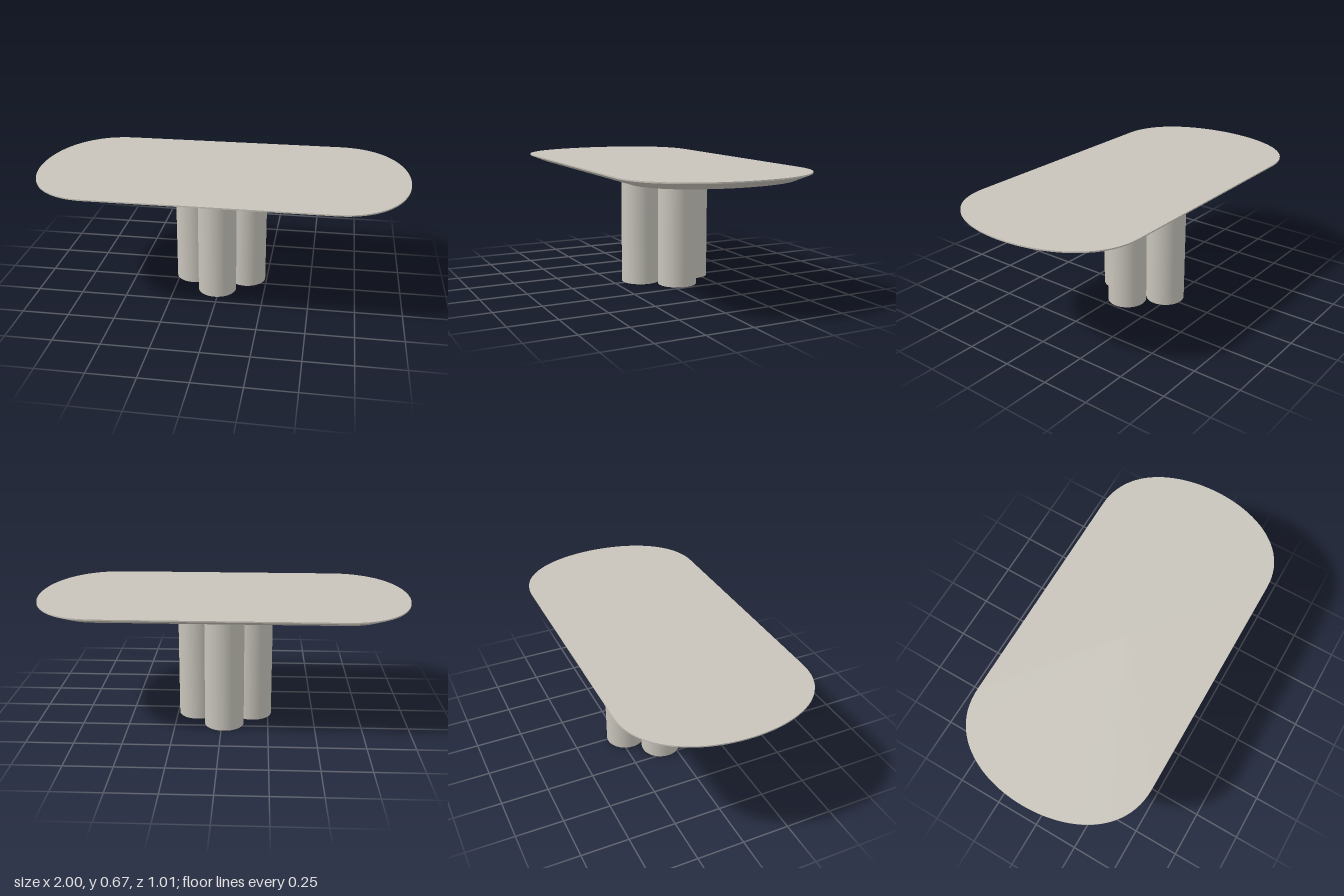
import * as THREE from 'three';

// Outline of the top: straight long sides joined by soft rounded ends (x, z)
function topOutline() {
  const end = new THREE.CubicBezierCurve(
    new THREE.Vector2(1, 0), new THREE.Vector2(1, 0.25),
    new THREE.Vector2(0.88, 0.505), new THREE.Vector2(0.62, 0.505));
  const n = 24;
  const quarter = [];
  for (let i = 0; i <= n; i++) {
    const p = end.getPoint(i / n), t = end.getTangent(i / n);
    quarter.push({ x: p.x, z: p.y, nx: t.y, nz: -t.x });
  }
  const flip = (list, sx, sz) =>
    list.map(p => ({ x: p.x * sx, z: p.z * sz, nx: p.nx * sx, nz: p.nz * sz }));
  const back = [...quarter].reverse();
  return [
    ...quarter,
    ...flip(back, -1, 1).slice(0, -1),
    ...flip(quarter, -1, -1),
    ...flip(back, 1, -1).slice(0, -1),
  ];
}

// Closed strip of faces between two loops of [x, y, z] points
function band(lower, upper) {
  const n = lower.length, index = [];
  for (let i = 0; i < n; i++) {
    const j = (i + 1) % n;
    index.push(i, n + i, j, j, n + i, n + j);
  }
  const g = new THREE.BufferGeometry();
  g.setAttribute('position', new THREE.Float32BufferAttribute([...lower, ...upper].flat(), 3));
  g.setIndex(index);
  g.computeVertexNormals();
  return g;
}

export function createModel() {
  const group = new THREE.Group();
  const stone = new THREE.MeshStandardMaterial({ color: 0xc8c4bb });
  stone.name = 'warm grey stone';

  const add = (name, geometry, parent) => {
    const mesh = new THREE.Mesh(geometry, stone);
    mesh.name = name;
    parent.add(mesh);
    return mesh;
  };

  // Table top: thin upright rim with an undercut bevel
  const tableTop = new THREE.Group();
  tableTop.name = 'tableTop';
  group.add(tableTop);
  const outline = topOutline();
  const loop = (y, inset) => outline.map(p => [p.x - p.nx * inset, y, p.z - p.nz * inset]);
  const centre = y => outline.map(() => [0, y, 0]);
  const topY = 0.667, rimY = 0.66, underY = 0.627, inset = 0.078;
  add('topSurface', band(loop(topY, 0), centre(topY)), tableTop);
  add('rim', band(loop(rimY, 0), loop(topY, 0)), tableTop);
  add('bevel', band(loop(underY, inset), loop(rimY, 0)), tableTop);
  add('underside', band(centre(underY), loop(underY, inset)), tableTop);

  // Pedestal: four touching columns in a diamond, set slightly off centre
  const pedestal = new THREE.Group();
  pedestal.name = 'pedestal';
  pedestal.position.set(-0.014, 0, -0.061);
  group.add(pedestal);
  const column = new THREE.CylinderGeometry(0.105, 0.105, underY, 48);
  for (let i = 0; i < 4; i++) {
    const a = i * Math.PI / 2;
    add('column', column, pedestal)
      .position.set(Math.cos(a) * 0.15, underY / 2, Math.sin(a) * 0.15);
  }

  return group;
}
